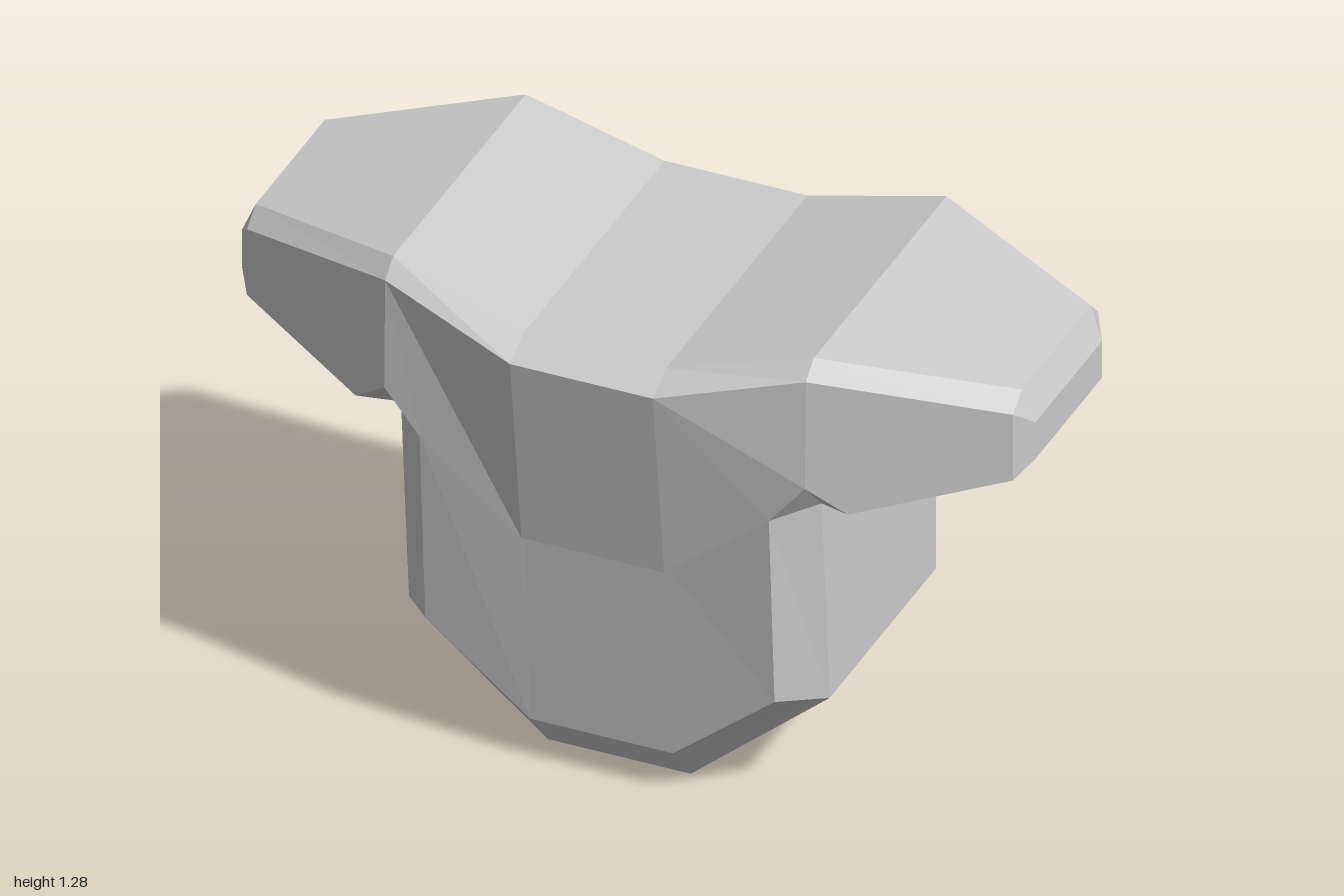
import * as THREE from 'three';

const material = new THREE.MeshStandardMaterial({ color: 0xcccccc, flatShading: true });

// Corner points of the model's left half (+x), named by region.
const P = {
  // central cross-section, running from the top round the front and underneath
  topBack: [0.18, 1.195, -0.42], topFront: [0.18, 1.195, 0.38],
  rimFront: [0.18, 1.155, 0.455], flapLow: [0.18, 0.64, 0.39],
  bodyTop: [0.18, 0.64, 0.365], bodyLow: [0.18, 0.115, 0.34],
  footFront: [0.18, 0, 0.24], footBack: [0.18, 0, -0.36],
  backLow: [0.18, 0.115, -0.455], rimBack: [0.18, 1.155, -0.455],
  // shoulder ridge
  s0: [0.53, 1.285, -0.42], s1: [0.53, 1.285, 0.33], s2: [0.53, 1.245, 0.375], s3: [0.53, 1.245, -0.455],
  // wing end ring and its small cap
  c0: [0.965, 1.195, -0.26], c1: [0.965, 1.195, 0.13], c2: [0.965, 1.155, 0.18],
  c3: [0.965, 0.975, 0.18], c4: [0.965, 0.975, -0.30], c5: [0.965, 1.155, -0.30],
  t0: [1, 1.115, -0.245], t1: [1, 1.115, 0.13], t2: [1, 1.015, 0.13], t3: [1, 1.015, -0.245],
  // armpit notch, front (F) and back (B)
  peakF: [0.53, 0.955, 0.38], wingF: [0.62, 0.885, 0.34], innerF: [0.44, 0.845, 0.382], deepF: [0.53, 0.86, 0.285],
  peakB: [0.53, 0.955, -0.455], wingB: [0.62, 0.885, -0.425], innerB: [0.44, 0.845, -0.455], deepB: [0.53, 0.86, -0.36],
  // lower hip corners
  hipF: [0.53, 0.30, 0.24], hipInF: [0.44, 0.33, 0.35], hipB: [0.53, 0.30, -0.36], hipInB: [0.44, 0.33, -0.455],
};

// Faces are fans of named corners, mirrored to -x; the spine bridges both halves.
function shell(name, faces, spine) {
  const position = [];
  const flip = ([x, y, z]) => [-x, y, z];
  const fan = (pts) => {
    for (let i = 1; i < pts.length - 1; i++) position.push(...pts[0], ...pts[i], ...pts[i + 1]);
  };
  for (const face of faces) {
    const pts = face.split(' ').map((n) => P[n]);
    fan(pts);
    fan(pts.map(flip).reverse());
  }
  const line = spine.split(' ').map((n) => P[n]);
  for (let i = 0; i < line.length - 1; i++) {
    fan([flip(line[i]), flip(line[i + 1]), line[i + 1], line[i]]);
  }
  const geometry = new THREE.BufferGeometry();
  geometry.setAttribute('position', new THREE.Float32BufferAttribute(position, 3));
  geometry.computeVertexNormals();
  const mesh = new THREE.Mesh(geometry, material);
  mesh.name = name;
  return mesh;
}

export function createModel() {
  const group = new THREE.Group();
  group.name = 'wingedBlock';

  // Winged top with the pointed front flap
  group.add(shell('wingedTop', [
    'topBack topFront s1 s0', 's0 s1 c1 c0',
    'topFront rimFront s2 s1', 's1 s2 c2 c1',
    'rimBack topBack s0 s3', 's3 s0 c0 c5',
    'rimFront flapLow innerF peakF s2', 's2 peakF wingF c3 c2',
    's3 c5 c4 wingB peakB', 'flapLow bodyTop innerF',
    'c3 wingF deepF deepB wingB c4',
    'peakF innerF deepF', 'peakF deepF wingF',
    'peakB deepB innerB', 'peakB wingB deepB',
    // wing end caps
    't0 t1 t2 t3', 'c0 c1 t1 t0', 'c1 c2 t1', 'c2 c3 t2 t1',
    'c3 c4 t3 t2', 'c4 c5 t0 t3', 'c5 c0 t0',
  ], 'rimBack topBack topFront rimFront flapLow bodyTop'));

  // Bevelled lower body
  group.add(shell('lowerBody', [
    'bodyTop bodyLow hipInF innerF', 'innerF hipInF hipF deepF',
    'deepF hipF hipB deepB', 'deepB hipB hipInB innerB',
    'bodyLow footFront hipF hipInF', 'footFront footBack hipB hipF',
    'footBack backLow hipInB hipB',
  ], 'bodyTop bodyLow footFront footBack backLow'));

  // Flat back shared by top and body
  group.add(shell('backPanel', ['rimBack s3 peakB innerB hipInB backLow'], 'backLow rimBack'));

  return group;
}
